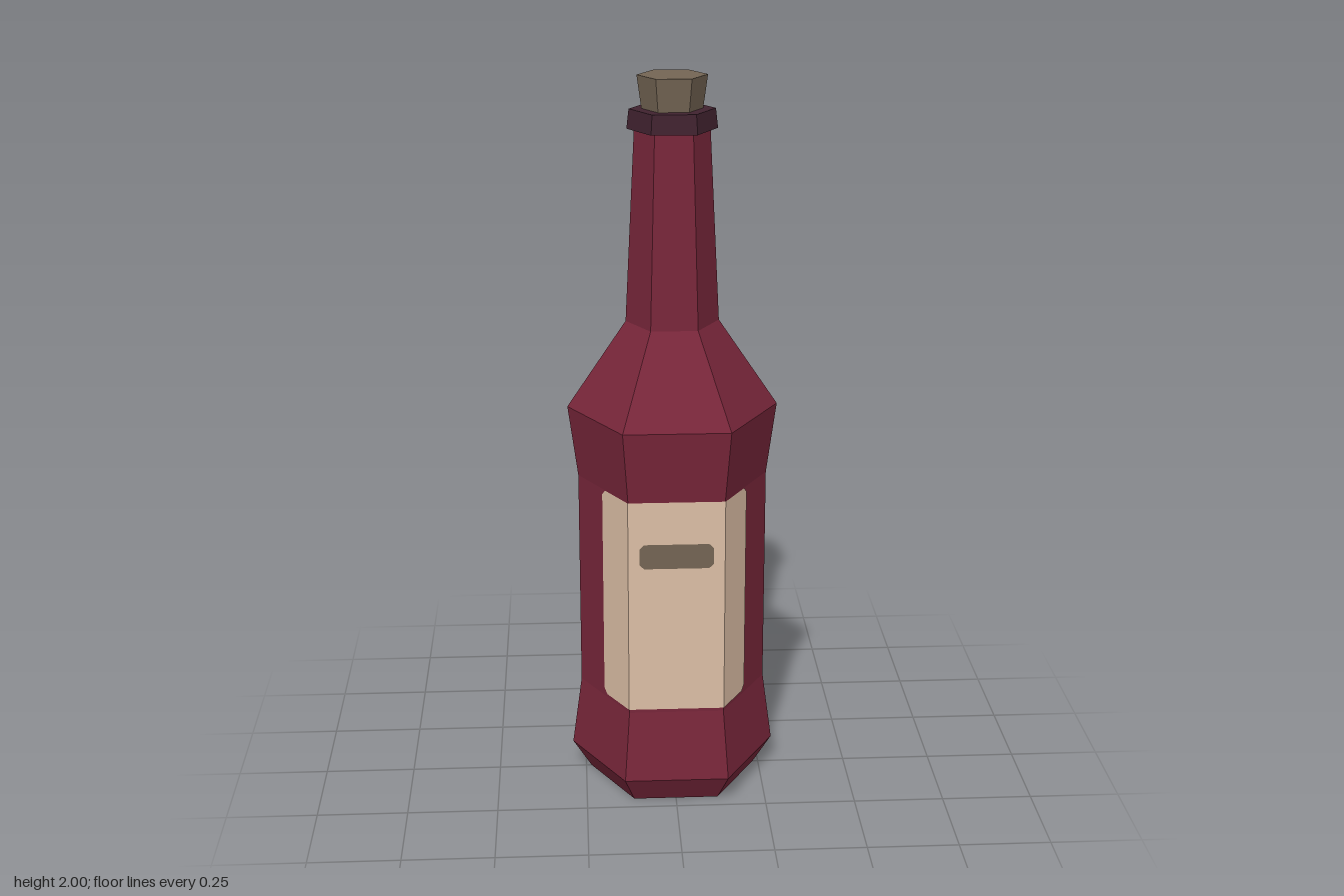
import * as THREE from 'three';

const mat = (name, color) => {
  const m = new THREE.MeshStandardMaterial({ color });
  m.name = name;
  return m;
};

// Six-sided turned part with flat faces; corners point to +x and -x
function hexLathe(name, profile, material) {
  const points = profile.map(([r, y]) => new THREE.Vector2(r, y));
  const geometry = new THREE.LatheGeometry(points, 6, Math.PI / 2).toNonIndexed();
  geometry.computeVertexNormals();
  const mesh = new THREE.Mesh(geometry, material);
  mesh.name = name;
  return mesh;
}

// Flat plate whose left and right corners can be clipped
function plate(name, x0, x1, y0, y1, cutL, cutR, z, angle, material) {
  const shape = new THREE.Shape([
    [x0 + cutL, y0], [x1 - cutR, y0], [x1, y0 + cutR], [x1, y1 - cutR],
    [x1 - cutR, y1], [x0 + cutL, y1], [x0, y1 - cutL], [x0, y0 + cutL],
  ].map(([x, y]) => new THREE.Vector2(x, y)));
  const geometry = new THREE.ShapeGeometry(shape);
  geometry.translate(0, 0, z);
  geometry.rotateY(angle);
  const mesh = new THREE.Mesh(geometry, material);
  mesh.name = name;
  return mesh;
}

export function createModel() {
  const wine = mat('wine red glass', 0x78263a);
  const dark = mat('dark collar', 0x40222f);
  const paper = mat('label paper', 0xdcbea5);
  const cork = mat('cork brown', 0x746554);

  const bottle = new THREE.Group();
  bottle.name = 'bottle';

  // Glass body, collar and stopper
  bottle.add(hexLathe('body', [
    [0, 0], [0.235, 0], [0.287, 0.08], [0.26, 0.28], [0.26, 0.9],
    [0.287, 1.1], [0.126, 1.34], [0.1, 1.87], [0, 1.87],
  ], wine));
  bottle.add(hexLathe('collar', [
    [0.09, 1.86], [0.12, 1.86], [0.114, 1.912], [0, 1.914],
  ], dark));
  bottle.add(hexLathe('stopper', [
    [0, 1.9], [0.079, 1.9], [0.093, 2], [0, 2],
  ], cork));

  // Labels folded around three faces, front and back
  const R = 0.262, a = R * Math.cos(Math.PI / 6), h = R / 2, flap = 0.131;
  for (const [side, turn] of [['front', 0], ['back', Math.PI]]) {
    const label = new THREE.Group();
    label.name = side + 'Label';
    label.rotation.y = turn;
    label.add(plate('labelCentre', -h, h, 0.29, 0.9, 0, 0, a, 0, paper));
    label.add(plate('labelLeftFlap', -h, -h + flap, 0.29, 0.9, 0, 0.015, a, Math.PI / 3, paper));
    label.add(plate('labelRightFlap', h - flap, h, 0.29, 0.9, 0.015, 0, a, -Math.PI / 3, paper));
    bottle.add(label);
  }

  // Dark bar on the front label
  bottle.add(plate('labelBar', -0.1, 0.1, 0.71, 0.78, 0.012, 0.012, a + 0.002, 0, cork));
  return bottle;
}
